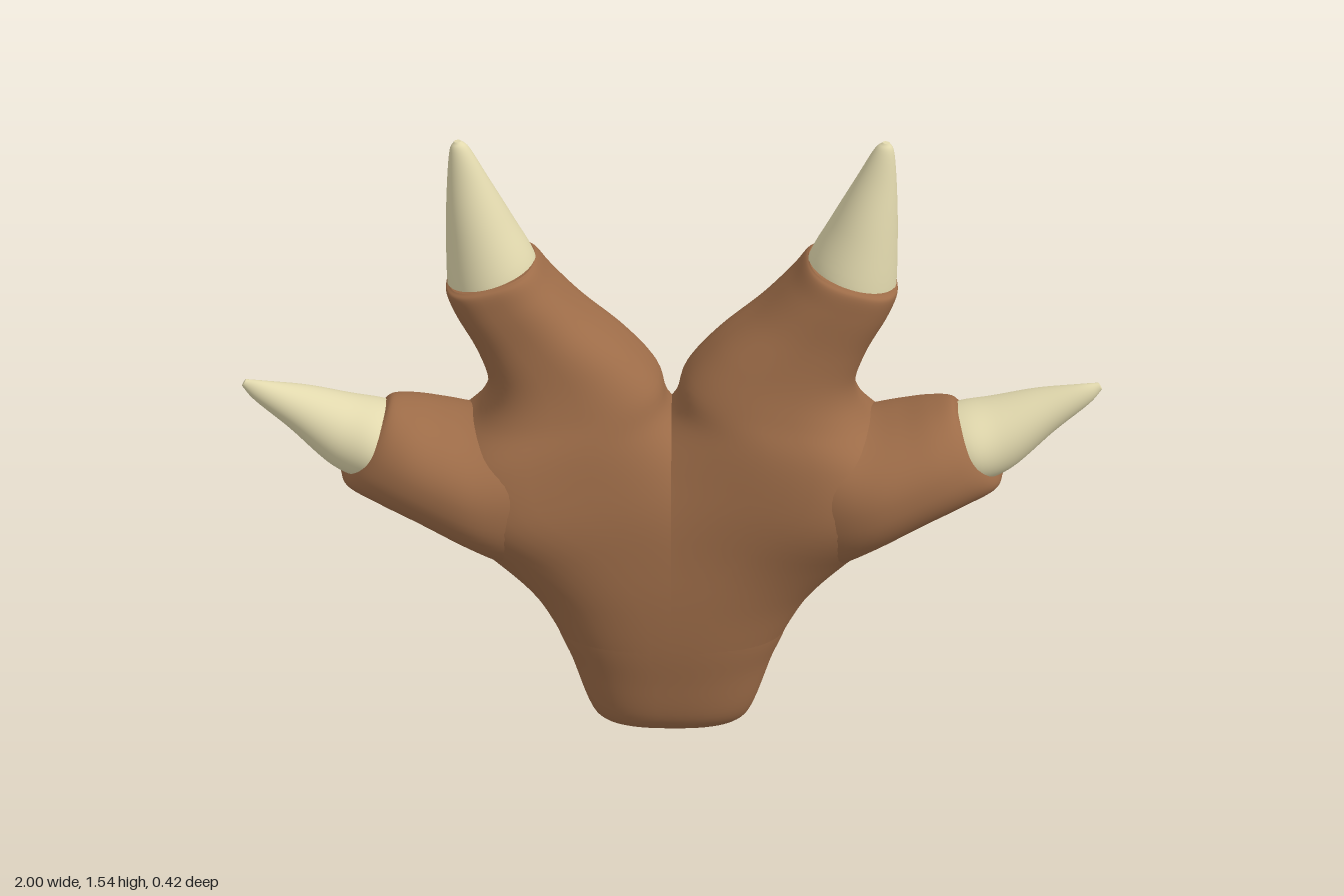
import * as THREE from 'three';

const hide = new THREE.MeshStandardMaterial({ color: 0x9d6c48 });
const horn = new THREE.MeshStandardMaterial({ color: 0xe2d9ae });

// Each cross-section: [innerX, innerY, outerX, outerY, zFront, zBack]
const LIMB = [ // wrist, palm and upper finger
  [-0.12, 0, 0.12, 0, 0.05, -0.03],
  [-0.18, 0.025, 0.18, 0.025, 0.1, -0.09],
  [-0.21, 0.08, 0.21, 0.08, 0.14, -0.14],
  [-0.25, 0.2, 0.25, 0.2, 0.157, -0.19],
  [-0.29, 0.31, 0.29, 0.3, 0.167, -0.205],
  [-0.31, 0.46, 0.35, 0.4, 0.168, -0.21],
  [-0.24, 0.63, 0.45, 0.505, 0.16, -0.21],
  [-0.1, 0.77, 0.58, 0.63, 0.155, -0.21],
  [0, 0.87, 0.56, 0.76, 0.148, -0.21],
  [0.03, 0.95, 0.46, 0.86, 0.125, -0.207],
  [0.1, 1.03, 0.43, 0.94, 0.105, -0.202],
  [0.2, 1.115, 0.455, 1.03, 0.09, -0.197],
  [0.27, 1.19, 0.5, 1.12, 0.085, -0.19],
  [0.303, 1.235, 0.52, 1.175, 0.08, -0.182],
  [0.315, 1.245, 0.512, 1.19, 0.065, -0.168],
];
const SIDE_FINGER = [
  [0.12, 0.78, 0.22, 0.45, 0.08, -0.13],
  [0.22, 0.83, 0.31, 0.45, 0.14, -0.17],
  [0.33, 0.855, 0.4, 0.485, 0.193, -0.193],
  [0.45, 0.85, 0.48, 0.54, 0.212, -0.197],
  [0.53, 0.865, 0.6, 0.608, 0.195, -0.183],
  [0.6, 0.887, 0.7, 0.655, 0.165, -0.148],
  [0.65, 0.897, 0.77, 0.685, 0.12, -0.105],
  [0.67, 0.885, 0.787, 0.712, 0.05, -0.05],
];
const UPPER_CLAW = [
  [0.32, 1.18, 0.505, 1.13, 0.055, -0.155],
  [0.312, 1.24, 0.517, 1.18, 0.063, -0.162],
  [0.362, 1.345, 0.515, 1.32, 0.036, -0.124],
  [0.415, 1.45, 0.508, 1.435, 0.006, -0.08],
  [0.453, 1.522, 0.499, 1.517, -0.014, -0.057],
  [0.472, 1.541, 0.488, 1.54, -0.027, -0.043],
];
const SIDE_CLAW = [
  [0.62, 0.87, 0.66, 0.72, 0.1, -0.08],
  [0.68, 0.888, 0.715, 0.708, 0.125, -0.1],
  [0.75, 0.903, 0.8, 0.738, 0.104, -0.086],
  [0.85, 0.931, 0.898, 0.835, 0.07, -0.047],
  [0.945, 0.955, 0.972, 0.908, 0.047, 0.002],
  [0.99, 0.961, 1, 0.945, 0.032, 0.017],
];

// Soft pad on the front of the palm that leads into the side finger
const pad = (x, y) => 0.058 * Math.exp(-(((Math.abs(x) - 0.43) / 0.22) ** 2) - ((y - 0.64) / 0.2) ** 2);
const plain = () => 0;

// Smooth skin through the cross-sections; power sets how square they are
function loft(sections, power, swell, mirror) {
  const side = mirror ? -1 : 1, rows = (sections.length - 1) * 6, cols = 64;
  const curve = (points) => new THREE.CatmullRomCurve3(points, false, 'catmullrom', 0.5);
  const inner = curve(sections.map((s) => new THREE.Vector3(s[0], s[1], s[4])));
  const outer = curve(sections.map((s) => new THREE.Vector3(s[2], s[3], s[5])));
  const pos = [], index = [];
  const tri = (a, b, c) => (mirror ? index.push(a, c, b) : index.push(a, b, c));
  const bend = (v) => Math.sign(v) * Math.abs(v) ** (2 / power);

  function ring(t) {
    const start = pos.length / 3, p = inner.getPoint(t), q = outer.getPoint(t);
    for (let j = 0; j < cols; j++) {
      const a = (j / cols) * Math.PI * 2, front = bend(Math.sin(a));
      const u = 0.5 + 0.5 * bend(Math.cos(a)), w = 0.5 + 0.5 * front;
      const x = p.x + (q.x - p.x) * u, y = p.y + (q.y - p.y) * u;
      pos.push(side * x, y, q.z + (p.z - q.z) * w + swell(x, y) * Math.max(0, front));
    }
    return start;
  }

  for (let i = 0; i <= rows; i++) {
    const b = ring(i / rows), a = b - cols;
    for (let j = 0; i > 0 && j < cols; j++) {
      const k = (j + 1) % cols;
      tri(a + j, b + j, a + k);
      tri(a + k, b + j, b + k);
    }
  }
  // End caps with their own rims
  for (const t of [0, 1]) {
    const rim = ring(t), mid = pos.length / 3;
    const c = inner.getPoint(t).add(outer.getPoint(t)).multiplyScalar(0.5);
    pos.push(side * c.x, c.y, c.z);
    for (let j = 0; j < cols; j++) {
      const k = (j + 1) % cols;
      if (t) tri(mid, rim + k, rim + j);
      else tri(mid, rim + j, rim + k);
    }
  }
  const geometry = new THREE.BufferGeometry();
  geometry.setAttribute('position', new THREE.Float32BufferAttribute(pos, 3));
  geometry.setIndex(index);
  geometry.computeVertexNormals();
  return geometry;
}

export function createModel() {
  const model = new THREE.Group();
  model.name = 'clawedPaw';
  const parts = [
    ['PalmAndUpperFinger', LIMB, 2.6, pad, hide],
    ['SideFinger', SIDE_FINGER, 2.2, plain, hide],
    ['UpperClaw', UPPER_CLAW, 2, plain, horn],
    ['SideClaw', SIDE_CLAW, 2, plain, horn],
  ];
  // The two halves overlap and meet in a crease at the centre
  for (const mirror of [false, true]) {
    for (const [name, sections, power, swell, material] of parts) {
      const mesh = new THREE.Mesh(loft(sections, power, swell, mirror), material);
      mesh.name = (mirror ? 'right' : 'left') + name;
      model.add(mesh);
    }
  }
  return model;
}
